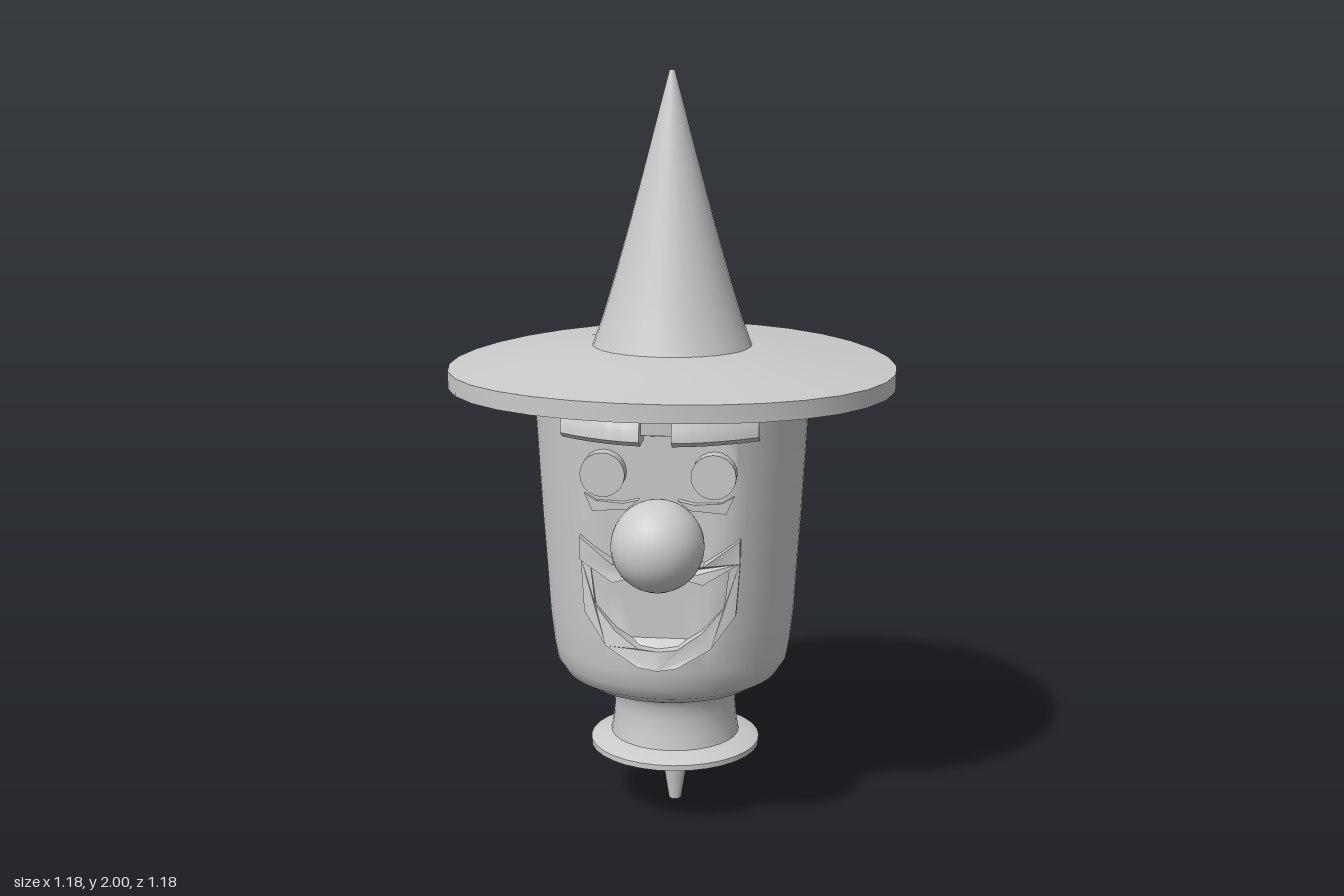
import * as THREE from 'three';
import { toCreasedNormals } from 'three/addons/utils/BufferGeometryUtils.js';

const FACE_TURN = 0.11; // the face looks slightly towards its left
const FACE_DEPTH = 0.3; // distance of the flat face plane from the axis

const material = new THREE.MeshStandardMaterial({ color: 0xcccccc });

function add(parent, name, geometry, crease = 0.6) {
  const mesh = new THREE.Mesh(crease ? toCreasedNormals(geometry, crease) : geometry, material);
  mesh.name = name;
  parent.add(mesh);
  return mesh;
}

// Move every vertex by a rule
function warp(geometry, rule) {
  const pos = geometry.attributes.position;
  const v = new THREE.Vector3();
  for (let i = 0; i < pos.count; i++) {
    rule(v.fromBufferAttribute(pos, i));
    pos.setXYZ(i, v.x, v.y, v.z);
  }
  geometry.computeVertexNormals();
  return geometry;
}

const vectors = (points) => points.map(([x, y]) => new THREE.Vector2(x, y));
const lathe = (points, sides) => new THREE.LatheGeometry(vectors(points), sides);

// Wrap a face part back around the head
const wrap = (geometry, amount) => warp(geometry, (v) => { v.z -= amount * v.x * v.x; });

function extrude(points, depth, steps = 1) {
  return new THREE.ExtrudeGeometry(new THREE.Shape(vectors(points)), { depth, steps, bevelEnabled: false });
}

// Mirror half an outline (x >= 0, listed from the centre outwards) to a full line
const mirrored = (half) => [
  ...half.filter(([x]) => x > 0).reverse().map(([x, y]) => [-x, y]),
  ...half,
];

export function createModel() {
  const model = new THREE.Group();
  model.name = 'hattedHead';

  // Head: a tapering cup with the front planed flat for the face
  const profile = [[0.16, 0.35], [0.2, 0.368], [0.25, 0.385], [0.29, 0.41], [0.312, 0.445], [0.32, 0.49],
    [0.328, 0.56], [0.33, 0.58], [0.337, 0.7], [0.347, 0.85], [0.355, 1.0], [0.361, 1.11], [0.362, 1.125],
    [0.367, 1.23], [0, 1.23]];
  const axis = new THREE.Vector3(Math.sin(FACE_TURN), 0, Math.cos(FACE_TURN));
  add(model, 'head', warp(lathe(profile, 64), (v) => {
    const excess = v.dot(axis) - FACE_DEPTH;
    if (excess > 0 && v.y > 0.57 && v.y < 1.115) v.addScaledVector(axis, -excess);
  }));

  // Neck, base plate and peg stand slightly behind the head's axis
  const stand = new THREE.Group();
  stand.name = 'stand';
  stand.position.z = -0.037;
  model.add(stand);
  add(stand, 'neck', lathe([[0.178, 0.195], [0.17, 0.24], [0.166, 0.29], [0.17, 0.325], [0.182, 0.352],
    [0.21, 0.375], [0.24, 0.392]], 32), 0.9);
  add(stand, 'basePlate', lathe([[0, 0.172], [0.232, 0.172], [0.232, 0.187], [0.18, 0.207], [0, 0.207]], 32), 0.4);
  add(stand, 'peg', new THREE.CylinderGeometry(0.045, 0.017, 0.175, 20).translate(0, 0.0875, 0));

  // Hat: a brim drooping at the sides and a slightly flared cone
  const hat = new THREE.Group();
  hat.name = 'hat';
  model.add(hat);
  const brim = lathe([[0, 1.208], [0.37, 1.208], [0.59, 1.207], [0.59, 1.253], [0.37, 1.275], [0.2, 1.295],
    [0, 1.295]], 32);
  add(hat, 'brim', warp(brim, (v) => {
    v.y -= 0.018 * (v.x / 0.59) ** 2;
  }));
  add(hat, 'cone', lathe([[0.212, 1.285], [0.183, 1.365], [0.154, 1.46], [0.111, 1.61], [0.06, 1.8],
    [0.007, 2], [0, 2]], 32));

  // Face parts share one turned group
  const face = new THREE.Group();
  face.name = 'face';
  face.rotation.y = FACE_TURN;
  model.add(face);

  add(face, 'nose', new THREE.SphereGeometry(0.116, 32, 20).translate(0.012, 0.867, 0.445), 0);

  for (const [side, s] of [['left', 1], ['right', -1]]) {
    // Eye disc
    add(face, side + 'Eye', new THREE.CylinderGeometry(0.057, 0.057, 0.07, 20)
      .rotateX(Math.PI / 2).translate(s * 0.14, 1.017, 0.305));

    // Heavy brow ridge, its section drawn as [z, y]
    const brow = extrude([[0.25, 1.1], [0.375, 1.1], [0.4, 1.115], [0.395, 1.145], [0.36, 1.2], [0.25, 1.2]], 0.21, 5);
    brow.rotateY(-Math.PI / 2).translate(s * 0.145 + 0.105, 0, 0);
    add(face, side + 'Brow', wrap(brow, 1.5), 0.4);

    // Cheek rim below the eye
    const cheek = extrude([[0.05, 0.95], [0.08, 0.925], [0.17, 0.915], [0.19, 0.96], [0.16, 0.943], [0.09, 0.94]]
      .map(([x, y]) => [s * x, y]), 0.075);
    add(face, side + 'Cheek', wrap(cheek.translate(0, 0, 0.25), 0.5));
  }

  // Wavy upper lip
  const upperTop = mirrored([[0, 0.785], [0.06, 0.805], [0.115, 0.785], [0.205, 0.845]]);
  const upperBottom = mirrored([[0, 0.735], [0.06, 0.757], [0.115, 0.738], [0.205, 0.785]]);
  add(face, 'upperLip', wrap(extrude([...upperBottom, ...upperTop.reverse()], 0.12).translate(0, 0, 0.245), 1.4));

  // Crescent lower lip, thrust forward towards the chin
  const outer = mirrored([[0, 0.51], [0.05, 0.518], [0.135, 0.565], [0.195, 0.645], [0.205, 0.785]]);
  const inner = mirrored([[0, 0.56], [0.05, 0.565], [0.11, 0.605], [0.165, 0.665], [0.178, 0.77]]);
  const lower = extrude([...outer, ...inner.reverse()], 0.09).translate(0, 0, 0.24);
  add(face, 'lowerLip', warp(lower, (v) => {
    if (v.z > 0.3) v.z += 0.03 * THREE.MathUtils.clamp((0.7 - v.y) / 0.18, 0, 1);
    v.z -= 1.1 * v.x * v.x;
  }));

  return model;
}
